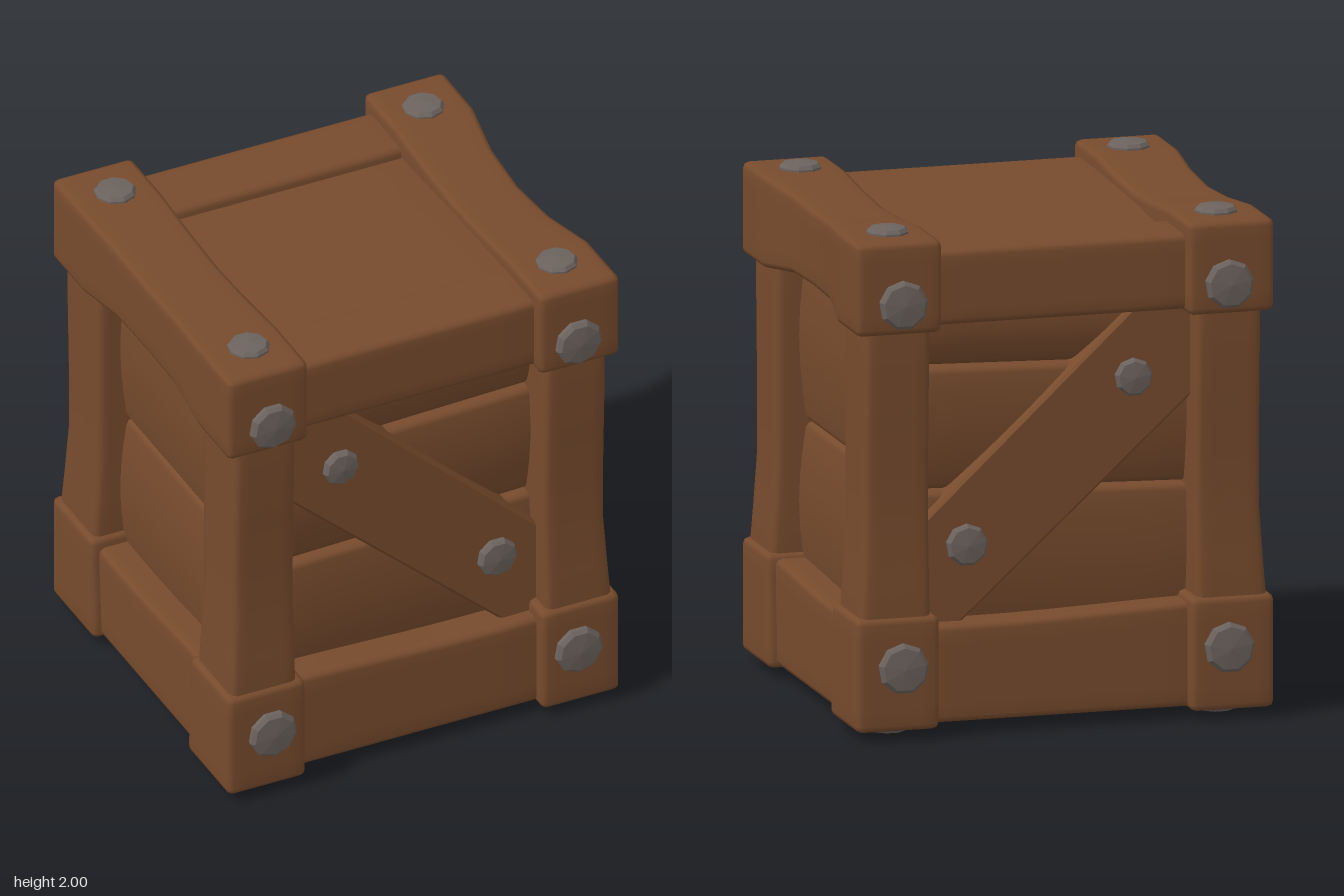
import * as THREE from 'three';
import { mergeVertices } from 'three/addons/utils/BufferGeometryUtils.js';

const wood = new THREE.MeshStandardMaterial({ color: 0x774b2d });
wood.name = 'brown wood';
const metal = new THREE.MeshStandardMaterial({ color: 0x6c635e });
metal.name = 'grey iron';

const SEG = 8;
const smooth = THREE.MathUtils.smoothstep;

// Timber with worn, rounded edges between two corners; warp bends it in model space
function timber(name, min, max, warp = () => {}, r = 0.025) {
  const geo = new THREE.BoxGeometry(1, 1, 1, SEG, SEG, SEG);
  geo.deleteAttribute('uv');
  geo.deleteAttribute('normal');
  const pos = geo.attributes.position;
  const lo = new THREE.Vector3(...min), hi = new THREE.Vector3(...max);
  const centre = lo.clone().add(hi).multiplyScalar(0.5);
  const half = hi.clone().sub(lo).multiplyScalar(0.5);
  const p = new THREE.Vector3(), inner = new THREE.Vector3();
  const lastRow = 1 - 2 / SEG;
  for (let i = 0; i < pos.count; i++) {
    p.fromBufferAttribute(pos, i);
    for (const k of ['x', 'y', 'z']) {
      const a = Math.abs(p[k]) * 2, s = Math.sign(p[k]);
      p[k] = s * (a > 0.99 ? half[k] : (a / lastRow) * (half[k] - r));
      inner[k] = THREE.MathUtils.clamp(p[k], r - half[k], half[k] - r);
    }
    p.sub(inner);
    if (p.lengthSq() > 0) p.setLength(r);
    p.add(inner).add(centre);
    warp(p);
    pos.setXYZ(i, p.x, p.y, p.z);
  }
  const merged = mergeVertices(geo, 1e-5);
  merged.computeVertexNormals();
  const mesh = new THREE.Mesh(merged, wood);
  mesh.name = name;
  return mesh;
}

// Faceted domed bolt head facing along dir
function bolt(name, r, at, dir) {
  const profile = [[r, -0.02], [r, 0.016], [r * 0.86, 0.03], [0, 0.038]].map(([x, y]) => new THREE.Vector2(x, y));
  const geo = new THREE.LatheGeometry(profile, 9).toNonIndexed();
  geo.computeVertexNormals();
  const mesh = new THREE.Mesh(geo, metal);
  mesh.name = name;
  mesh.position.set(...at);
  mesh.quaternion.setFromUnitVectors(new THREE.Vector3(0, 1, 0), new THREE.Vector3(...dir));
  return mesh;
}

// Box corners given with a side sign s on x and t on z
function span(s, t, x, y, z) {
  const xs = [s * x[0], s * x[1]].sort((a, b) => a - b);
  const zs = [t * z[0], t * z[1]].sort((a, b) => a - b);
  return [[xs[0], y[0], zs[0]], [xs[1], y[1], zs[1]]];
}

export function createModel() {
  const crate = new THREE.Group();
  crate.name = 'crate';
  const signs = [-1, 1];

  // Core keeps the gaps between planks closed
  crate.add(timber('innerCore', [-0.6, 0.1, -0.52], [0.6, 1.84, 0.52]));

  // Floor and lid
  crate.add(timber('floor', [-0.78, 0.055, -0.7], [0.78, 0.2, 0.7]));
  crate.add(timber('lid', [-0.52, 1.72, -0.46], [0.52, 1.895, 0.7], (p) => {
    p.y += 0.02 * smooth(p.z, -0.3, 0.6) - 0.02 * (1 - smooth(p.z, -0.46, 0));
  }));

  for (const s of signs) {
    const side = s > 0 ? 'left' : 'right';

    // Long top beam, thicker at its ends and worn thin in the middle
    const wear = s > 0 ? 0.055 : 0.025;
    crate.add(timber(side + 'TopBeam', ...span(s, 1, [0.495, 0.84], [1.605, 1.97], [-0.78, 0.78]), (p) => {
      const mid = 1 - smooth(Math.abs(p.z), 0.34, 0.5);
      const deep = 1 - smooth(Math.abs(p.z), 0, 0.6);
      if (p.y > 1.8) p.y -= mid * (0.028 + 0.008 * Math.cos(p.z * 16));
      else p.y += mid * 0.03;
      if (Math.abs(p.x) > 0.7) p.x -= s * wear * (0.5 * mid + 0.5 * deep);
    }));

    // Bottom side beam
    crate.add(timber(side + 'BottomBeam', ...span(s, 1, [0.52, 0.805], [0.05, 0.455], [-0.5, 0.5]), (p) => {
      if (p.y > 0.3) p.y -= 0.015 * Math.cos(p.z * 4 + 1);
    }));

    // Bulging side planks
    for (const [y0, y1] of [[0.38, 1.0], [1.005, 1.68]]) {
      crate.add(timber(side + 'Plank', ...span(s, 1, [0.5, 0.675], [y0, y1], [-0.5, 0.5]), (p) => {
        if (Math.abs(p.x) > 0.6) p.x += s * 0.03 * Math.sin(Math.PI * (p.y - y0) / (y1 - y0));
      }));
    }
  }

  for (const t of signs) {
    const end = t > 0 ? 'front' : 'back';

    // Cross beams
    crate.add(timber(end + 'TopBeam', ...span(1, t, [-0.54, 0.54], [1.62, 1.915], [0.44, 0.725])));
    crate.add(timber(end + 'BottomBeam', ...span(1, t, [-0.54, 0.54], [0.05, 0.45], [0.44, 0.725]), (p) => {
      if (p.y > 0.3) p.y -= 0.015 * Math.cos(p.x * 3 - 1);
    }));

    // Stacked planks, each leaning a little
    for (const [y0, y1] of [[0.36, 0.92], [0.925, 1.41], [1.415, 1.7]]) {
      crate.add(timber(end + 'Plank', ...span(1, t, [-0.58, 0.58], [y0, y1], [0.4, 0.57]), (p) => {
        const u = (p.y - y0) / (y1 - y0);
        if (Math.abs(p.z) > 0.48) p.z += t * (0.025 * Math.sin(Math.PI * u) + 0.03 * u);
        p.y += 0.03 * p.x;
      }));
    }

    // Diagonal brace
    const outline = [[-0.56, 1.64], [-0.335, 1.64], [0.55, 0.81], [0.55, 0.43], [0.4, 0.43], [-0.56, 1.3]];
    const shape = new THREE.Shape(outline.map(([x, y]) => new THREE.Vector2(x, y)));
    const brace = new THREE.Mesh(new THREE.ExtrudeGeometry(shape, {
      depth: 0.14, bevelThickness: 0.012, bevelSize: 0.01, bevelSegments: 1,
    }), wood);
    brace.name = end + 'Brace';
    brace.position.z = t > 0 ? 0.508 : -0.648;
    crate.add(brace);
    crate.add(bolt(end + 'BraceBolt', 0.075, [-0.305, 1.355, t * 0.66], [0, 0, t]));
    crate.add(bolt(end + 'BraceBolt', 0.083, [0.365, 0.735, t * 0.66], [0, 0, t]));

    for (const s of signs) {
      const corner = end + (s > 0 ? 'Left' : 'Right');

      // Corner post, flaring towards its foot
      crate.add(timber(corner + 'Post', ...span(s, t, [0.535, 0.795], [0.4, 1.7], [0.45, 0.745]), (p) => {
        const flare = 0.025 * (1 - smooth(p.y, 0.45, 0.8));
        if (Math.abs(p.x) > 0.66) p.x += s * flare;
        if (Math.abs(p.z) > 0.6) p.z += t * (flare * 0.5 + 0.008 * Math.sin(p.y * 5));
      }));

      // Bottom corner block, slightly tapered upwards
      crate.add(timber(corner + 'CornerBlock', ...span(s, t, [0.505, 0.84], [0.04, 0.488], [0.43, 0.78]), (p) => {
        if (Math.abs(p.z) < 0.6) p.z -= t * 0.02 * (1 - smooth(p.y, 0.05, 0.45));
      }));

      // Bolts on the end faces, the top and the underside
      crate.add(bolt(corner + 'UpperBolt', 0.097, [s * 0.655, 1.725, t * 0.782], [0, 0, t]));
      crate.add(bolt(corner + 'LowerBolt', 0.1, [s * 0.655, 0.29, t * 0.782], [0, 0, t]));
      crate.add(bolt(corner + 'TopBolt', 0.083, [s * 0.66, 1.962, t * 0.587], [0, 1, 0]));
      crate.add(bolt(corner + 'FootBolt', 0.083, [s * 0.66, 0.038, t * 0.587], [0, -1, 0]));
    }
  }
  return crate;
}
